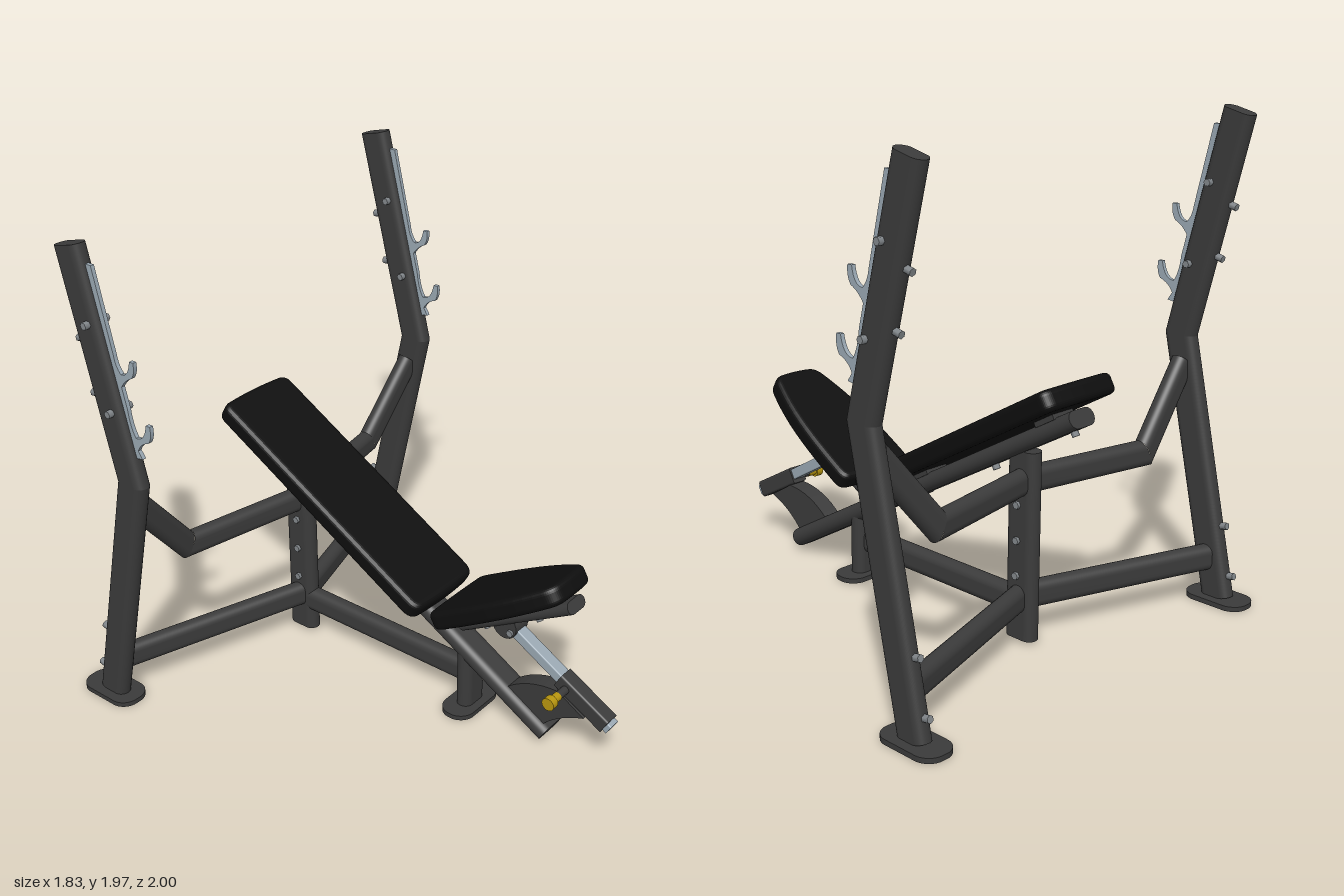
import * as THREE from 'three';

const mat = (name, color, side = THREE.FrontSide) => {
  const m = new THREE.MeshStandardMaterial({ color, side });
  m.name = name;
  return m;
};
const V = (x, y, z) => new THREE.Vector3(x, y, z);
const X = V(1, 0, 0), Y = V(0, 1, 0), Z = V(0, 0, 1);

// Rounded oblong outline, w across and h along
function oblong(w, h, r = Math.min(w, h) / 2) {
  const s = new THREE.Shape(), a = w / 2 - r, b = h / 2 - r, q = Math.PI / 2;
  s.absarc(a, b, r, 0, q);
  s.absarc(-a, b, r, q, 2 * q);
  s.absarc(-a, -b, r, 2 * q, 3 * q);
  s.absarc(a, -b, r, 3 * q, 4 * q);
  return s;
}

// Oval tube with mitred bends; size w lies along the hint axis
function ovalTube(path, w, h, hint, r) {
  const ring = oblong(w, h, r).getPoints(7);
  ring.pop();
  const dirs = path.slice(1).map((p, i) => p.clone().sub(path[i]).normalize());
  const cut = path.map((p, i) => (dirs[i - 1] || dirs[i]).clone().add(dirs[i] || dirs[i - 1]).normalize());
  const pos = [], idx = [], n = ring.length;
  dirs.forEach((d, s) => {
    const u = hint.clone().addScaledVector(d, -hint.dot(d)).normalize();
    const v = d.clone().cross(u);
    const ends = [s, s + 1].map(k => ring.map(c => {
      const o = u.clone().multiplyScalar(c.x).addScaledVector(v, c.y);
      return o.addScaledVector(d, -o.dot(cut[k]) / d.dot(cut[k])).add(path[k]);
    }));
    const base = pos.length / 3;
    ends.flat().forEach(p => pos.push(p.x, p.y, p.z));
    for (let i = 0; i < n; i++) {
      const j = (i + 1) % n;
      idx.push(base + i, base + j, base + n + j, base + i, base + n + j, base + n + i);
    }
    // flat end caps
    ends.forEach((e, k) => {
      if (k ? s < dirs.length - 1 : s > 0) return;
      const c = pos.length / 3;
      e.forEach(p => pos.push(p.x, p.y, p.z));
      for (let i = 1; i < n - 1; i++) idx.push(c, k ? c + i : c + i + 1, k ? c + i + 1 : c + i);
    });
  });
  const g = new THREE.BufferGeometry();
  g.setAttribute('position', new THREE.Float32BufferAttribute(pos, 3));
  g.setIndex(idx);
  g.computeVertexNormals();
  return g;
}

// Side profile given as [z, y] pairs, extruded across x
function sidePlate(shape, width) {
  const g = new THREE.ExtrudeGeometry(shape, { depth: width, bevelEnabled: false, curveSegments: 8 });
  return g.translate(0, 0, -width / 2).rotateY(-Math.PI / 2);
}

// Cushion with rolled edges, lying in its own xy plane
function cushion(shape, thick) {
  const b = 0.022;
  return new THREE.ExtrudeGeometry(shape, {
    depth: thick - 2 * b, bevelSize: b, bevelThickness: b, bevelOffset: -b, bevelSegments: 5, curveSegments: 10,
  }).translate(0, 0, b - thick / 2);
}

export function createModel() {
  const root = new THREE.Group();
  const frame = mat('frame charcoal', 0x3b3b3b);
  const vinyl = mat('pad black', 0x0e0e0e);
  const steel = mat('blue grey steel', 0x9aa8b3);
  const boltMat = mat('bolt grey', 0x83888c);
  const gold = mat('knob yellow', 0xb8960f);

  const add = (name, geo, m, parent = root) => {
    const mesh = new THREE.Mesh(geo, m);
    mesh.name = name;
    parent.add(mesh);
    return mesh;
  };
  const rod = (name, a, b, r, m, sides = 16, parent = root) => {
    const d = b.clone().sub(a);
    const mesh = add(name, new THREE.CylinderGeometry(r, r, d.length(), sides), m, parent);
    mesh.position.copy(a).add(b).multiplyScalar(0.5);
    mesh.quaternion.setFromUnitVectors(Y, d.normalize());
  };
  const bolt = (p, axis, len, parent = root) => {
    const h = axis.clone().multiplyScalar(len / 2);
    rod('bolt', p.clone().sub(h), p.clone().add(h), 0.015, boltMat, 6, parent);
  };
  const foot = (name, w, d, x, z) => {
    const g = new THREE.ExtrudeGeometry(oblong(w, d, 0.065), { depth: 0.02, bevelEnabled: false });
    add(name, g.rotateX(-Math.PI / 2).translate(x, 0, z), frame);
  };

  // Racking plate with two catch hooks
  const hook = new THREE.Shape();
  hook.moveTo(-0.735, 1.893);
  hook.lineTo(-0.79, 1.893);
  hook.lineTo(-0.62, 1.175);
  hook.lineTo(-0.555, 1.185);
  hook.lineTo(-0.575, 1.215);
  hook.quadraticCurveTo(-0.56, 1.25, -0.515, 1.265);
  hook.quadraticCurveTo(-0.495, 1.29, -0.502, 1.335);
  hook.lineTo(-0.522, 1.335);
  hook.quadraticCurveTo(-0.535, 1.265, -0.58, 1.265);
  hook.quadraticCurveTo(-0.605, 1.30, -0.612, 1.37);
  hook.lineTo(-0.633, 1.455);
  hook.quadraticCurveTo(-0.61, 1.49, -0.575, 1.505);
  hook.quadraticCurveTo(-0.555, 1.53, -0.56, 1.57);
  hook.lineTo(-0.58, 1.57);
  hook.quadraticCurveTo(-0.59, 1.505, -0.63, 1.505);
  hook.quadraticCurveTo(-0.655, 1.53, -0.66, 1.57);

  // Uprights, racks and feet on both sides
  for (const s of [-1, 1]) {
    const x = 0.84 * s;
    add('upright', ovalTube([V(x, 0.015, -0.86), V(x, 1.06, -0.625), V(x, 1.95, -0.845)], 0.07, 0.135, X), frame);
    foot('rearFoot', 0.15, 0.27, x, -0.865);
    add('rackPlate', sidePlate(hook, 0.016).translate(x, 0, 0), steel);
    for (const [y, z] of [[1.675, -0.75], [1.35, -0.67]]) bolt(V(x, y, z), X, 0.115);
    for (const [y, z] of [[1.59, -0.835], [1.385, -0.785], [0.315, -0.87], [0.115, -0.915]]) {
      bolt(V(x, y, z), V(0, y > 1 ? -0.24 : 0.22, -1).normalize(), 0.035);
    }
  }

  // Cross members joining the uprights to the centre post
  const upper = [V(-0.82, 0.95, -0.65), V(-0.56, 0.64, -0.675), V(0, 0.64, -0.57), V(0.56, 0.64, -0.675), V(0.82, 0.95, -0.65)];
  add('upperCrossbar', ovalTube(upper, 0.07, 0.105, Z), frame);
  add('lowerCrossbar', ovalTube([V(-0.83, 0.178, -0.82), V(0, 0.178, -0.56), V(0.83, 0.178, -0.82)], 0.07, 0.108, Z), frame);

  // Centre spine, posts and front foot
  add('centrePost', ovalTube([V(0, 0.015, -0.568), V(0, 0.76, -0.568)], 0.07, 0.136, X), frame);
  add('spine', ovalTube([V(0, 0.157, 0.32), V(0, 0.157, -0.55)], 0.07, 0.108, X), frame);
  add('frontPost', ovalTube([V(0, 0.015, 0.32), V(0, 0.27, 0.32)], 0.125, 0.07, X), frame);
  foot('frontFoot', 0.265, 0.14, 0, 0.32);
  for (const y of [0.27, 0.41, 0.55]) bolt(V(0, y, -0.565), X, 0.095);

  // Inclined main rail and back pad support
  const railAt = z => V(0, 0.462 - 0.573 * z, z);
  add('mainRail', ovalTube([railAt(0.71), railAt(-0.03)], 0.13, 0.075, X), frame);
  add('backSupport', ovalTube([railAt(0.0), railAt(-0.83)], 0.13, 0.068, X), frame);
  const up = V(0, 0.866, 0.5);
  for (const z of [0.0, -0.4, -0.78]) bolt(railAt(z).addScaledVector(up, -0.038), up, 0.03);
  for (const z of [-0.08, -0.72]) {
    const m = add('padSpacer', new THREE.BoxGeometry(0.11, 0.1, 0.03), frame);
    m.position.copy(railAt(z).addScaledVector(up, 0.043));
    m.rotation.x = -Math.PI / 3;
  }

  // Back pad
  const back = new THREE.Shape();
  back.moveTo(-0.15, -0.582);
  back.quadraticCurveTo(0, -0.594, 0.15, -0.582);
  back.quadraticCurveTo(0.188, -0.575, 0.188, -0.525);
  back.lineTo(0.188, 0.54);
  back.quadraticCurveTo(0.188, 0.575, 0.15, 0.582);
  back.quadraticCurveTo(0, 0.594, -0.15, 0.582);
  back.quadraticCurveTo(-0.188, 0.575, -0.188, 0.54);
  back.lineTo(-0.188, -0.525);
  back.quadraticCurveTo(-0.188, -0.575, -0.15, -0.582);
  const backPad = add('backPad', cushion(back, 0.08), vinyl);
  backPad.position.set(0, 0.748, -0.325);
  backPad.rotation.x = -Math.PI / 3;

  // Tapered seat pad
  const seat = new THREE.Shape();
  seat.moveTo(-0.15, -0.305);
  seat.quadraticCurveTo(0, -0.315, 0.15, -0.305);
  seat.quadraticCurveTo(0.183, -0.3, 0.183, -0.25);
  seat.bezierCurveTo(0.183, 0.0, 0.165, 0.12, 0.125, 0.255);
  seat.quadraticCurveTo(0.112, 0.3, 0.07, 0.305);
  seat.quadraticCurveTo(0, 0.312, -0.07, 0.305);
  seat.quadraticCurveTo(-0.112, 0.3, -0.125, 0.255);
  seat.bezierCurveTo(-0.165, 0.12, -0.183, 0.0, -0.183, -0.25);
  seat.quadraticCurveTo(-0.183, -0.3, -0.15, -0.305);
  const seatPad = add('seatPad', cushion(seat, 0.078), vinyl);
  seatPad.position.set(0, 0.604, 0.513);
  seatPad.rotation.x = Math.PI / 3;

  // Seat support, hinge bracket and sliding post
  add('seatSupport', ovalTube([V(0, 0.39, 0.3), V(0, 0.675, 0.795)], 0.11, 0.052, X), frame);
  const under = V(0, 0.866, -0.5);
  for (const [y, z] of [[0.415, 0.395], [0.55, 0.635]]) bolt(V(0, y, z), under, 0.03);
  rod('seatBracket', V(-0.04, 0.475, 0.505), V(0.04, 0.475, 0.505), 0.055, frame, 24);
  for (const [y, z] of [[0.455, 0.535], [0.49, 0.475]]) bolt(V(0, y, z), X, 0.1);
  add('seatPost', ovalTube([V(0, 0.198, 0.985), V(0, 0.46, 0.525)], 0.054, 0.045, X, 0.006), steel);
  add('postSleeve', ovalTube([V(0, 0.207, 0.968), V(0, 0.325, 0.752)], 0.068, 0.07, X, 0.01), frame);

  // Curved gusset carrying the sleeve
  const gusset = new THREE.Shape();
  gusset.moveTo(0.88, 0.21);
  gusset.lineTo(0.76, 0.282);
  gusset.quadraticCurveTo(0.62, 0.28, 0.52, 0.19);
  gusset.lineTo(0.69, 0.085);
  gusset.quadraticCurveTo(0.76, 0.17, 0.88, 0.21);
  add('sleeveGusset', sidePlate(gusset, 0.075), frame);

  // Adjustment pin with pull knob
  const pin = (name, a, b, r, m) => rod(name, V(a, 0.302, 0.79), V(b, 0.302, 0.79), r, m);
  pin('pinCollar', -0.09, -0.03, 0.017, frame);
  pin('knobStem', -0.125, -0.085, 0.018, gold);
  pin('pullKnob', -0.152, -0.122, 0.027, gold);

  return root;
}
